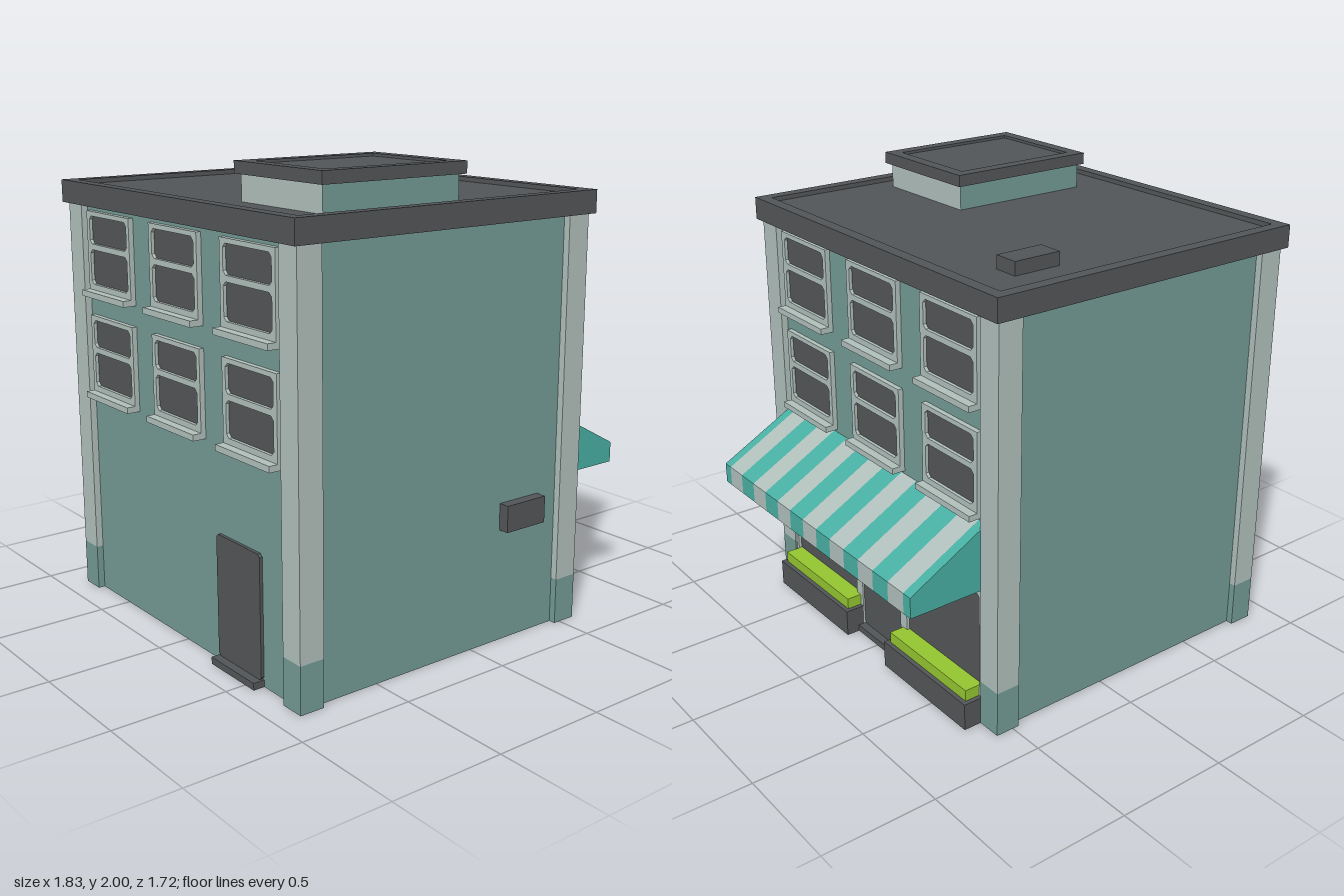
import * as THREE from 'three';

const mat = (name, color, side = THREE.FrontSide) => {
  const m = new THREE.MeshStandardMaterial({ color, side });
  m.name = name;
  return m;
};

export function createModel() {
  const D = THREE.DoubleSide;
  const wallMat = mat('sage wall', 0x739a94, D);
  const trim = mat('pale trim', 0xb0bfbb, D);
  const dark = mat('charcoal', 0x525557, D);
  const teal = mat('awning teal', 0x48aea2, D);
  const green = mat('leaf green', 0x93c42f);

  const root = new THREE.Group();
  root.name = 'shopBuilding';
  const body = new THREE.Group();
  body.name = 'building';
  body.position.x = -0.155;
  root.add(body);

  const add = (parent, name, geo, material) => {
    const m = new THREE.Mesh(geo, material);
    m.name = name;
    parent.add(m);
    return m;
  };
  // Box given by its limits
  const box = (parent, name, material, x0, x1, y0, y1, z0, z1) => {
    const g = new THREE.BoxGeometry(x1 - x0, y1 - y0, z1 - z0);
    g.translate((x0 + x1) / 2, (y0 + y1) / 2, (z0 + z1) / 2);
    return add(parent, name, g, material);
  };
  // Rectangle outline with small cut corners
  const outline = (x0, x1, y0, y1, c = 0) => {
    const p = c
      ? [[x0 + c, y0], [x1 - c, y0], [x1, y0 + c], [x1, y1 - c], [x1 - c, y1], [x0 + c, y1], [x0, y1 - c], [x0, y0 + c]]
      : [[x0, y0], [x1, y0], [x1, y1], [x0, y1]];
    return p.map(([x, y]) => new THREE.Vector2(x, y));
  };
  // Plate with holes
  const plate = (outer, holes, depth) => {
    const s = new THREE.Shape(outer);
    holes.forEach(h => s.holes.push(new THREE.Path(h)));
    return new THREE.ExtrudeGeometry(s, { depth, bevelEnabled: false });
  };
  // Open strip: polyline in xy swept from z = a to z = b
  const ribbon = (pts, a, b) => {
    const v = [];
    for (let i = 0; i < pts.length - 1; i++) {
      const [p, q] = [pts[i], pts[i + 1]];
      v.push(...p, a, ...p, b, ...q, a, ...p, b, ...q, b, ...q, a);
    }
    const g = new THREE.BufferGeometry();
    g.setAttribute('position', new THREE.Float32BufferAttribute(v, 3));
    g.computeVertexNormals();
    return g;
  };

  // Blank walls, open at the bottom
  for (const s of [1, -1]) {
    const g = new THREE.PlaneGeometry(1.25, 1.77);
    const w = add(body, s > 0 ? 'frontWall' : 'backWall', g, wallMat);
    w.position.set(0, 0.885, s * 0.81);
    if (s < 0) w.rotation.y = Math.PI;
  }

  // Corner pillars with coloured feet
  const corner = [[0.625, 0.81], [0.625, 0.84], [0.735, 0.84], [0.735, 0.73], [0.705, 0.73]];
  for (const sx of [1, -1]) for (const sz of [1, -1]) {
    const pts = corner.map(([x, z]) => [x * sx, z * sz]);
    if (sx * sz < 0) pts.reverse();
    add(body, 'pillarFoot', ribbon(pts, 0, 0.2).rotateX(-Math.PI / 2), wallMat);
    add(body, 'pillar', ribbon(pts, 0.2, 1.77).rotateX(-Math.PI / 2), trim);
  }

  // Sash window with frame, panes and sill; y is the sill top
  const addWindow = (side, x, y) => {
    const w = new THREE.Group();
    w.name = 'window';
    w.position.set(x, y, 0);
    side.add(w);
    const holes = [[0.025, 0.175], [0.2, 0.32]].map(([a, b]) => outline(-0.157, 0.157, a, b, 0.016));
    add(w, 'windowFrame', plate(outline(-0.18, 0.18, 0, 0.34), holes, 0.022), trim);
    box(w, 'windowGlass', dark, -0.165, 0.165, 0.015, 0.33, 0.001, 0.008);
    box(w, 'windowSill', trim, -0.18, 0.18, -0.026, 0, 0, 0.06);
  };
  const addDoor = (side, x) => {
    add(side, 'door', plate(outline(x - 0.15, x + 0.15, 0.03, 0.55, 0.012), [], 0.02), dark).position.z = -0.006;
    box(side, 'doorStep', dark, x - 0.15, x + 0.15, 0, 0.03, -0.005, 0.05);
  };
  // Long wall with two rows of windows
  const longSide = (name, sign) => {
    const side = new THREE.Group();
    side.name = name;
    side.position.x = sign * 0.705;
    side.rotation.y = sign * Math.PI / 2;
    body.add(side);
    add(side, 'longWall', new THREE.PlaneGeometry(1.46, 1.77), wallMat).position.y = 0.885;
    for (const x of [-0.52, 0, 0.52]) for (const y of [0.945, 1.4]) addWindow(side, x, y);
    return side;
  };

  const rear = longSide('serviceSide', -1);
  addDoor(rear, 0.41);

  // Shop front
  const shop = longSide('shopSide', 1);
  const panes = [-1, 1].map(s => outline(s * 0.455 - 0.257, s * 0.455 + 0.257, 0.15, 0.59, 0.012));
  panes.push(outline(-0.15, 0.15, 0.01, 0.55, 0.012));
  add(shop, 'shopPanel', plate(outline(-0.73, 0.73, 0, 0.64), panes, 0.022), trim);
  for (const s of [-1, 1]) {
    const c = s * 0.455;
    box(shop, 'shopGlass', dark, c - 0.262, c + 0.262, 0.14, 0.6, 0.001, 0.008);
    const p = s * 0.44;
    box(shop, 'planter', dark, p - 0.29, p + 0.29, 0, 0.12, 0.005, 0.11);
    box(shop, 'planterLeaves', green, p - 0.27, p + 0.27, 0.12, 0.17, 0.005, 0.09);
  }
  addDoor(shop, 0);

  // Striped awning with closed ends and flat underside
  const awning = new THREE.Group();
  awning.name = 'awning';
  body.add(awning);
  const slope = [[0.705, 0.905], [1.065, 0.71], [1.065, 0.62]];
  const edges = [-0.73];
  for (let i = 0; i <= 13; i++) edges.push(-0.683 + i * 0.1051);
  edges.push(0.73);
  for (let i = 0; i < 15; i++)
    add(awning, 'awningStripe', ribbon(slope, edges[i], edges[i + 1]), i % 2 ? trim : teal);
  const end = new THREE.Shape([...slope, [0.705, 0.62]].map(p => new THREE.Vector2(...p)));
  for (const s of [1, -1])
    add(awning, 'awningEnd', new THREE.ShapeGeometry(end), teal).position.z = s * 0.73;
  add(awning, 'awningUnderside', ribbon([[1.065, 0.62], [0.705, 0.62]], -0.73, 0.73), dark);

  // Flat roof with a raised rim
  const trayRoof = (name, x0, x1, z0, z1, y0, y1, lip, border) => {
    box(body, name, dark, x0, x1, y0, y1 - lip, z0, z1);
    const rim = plate(outline(x0, x1, -z1, -z0),
      [outline(x0 + border, x1 - border, -z1 + border, -z0 - border)], lip);
    add(body, name + 'Rim', rim.rotateX(-Math.PI / 2).translate(0, y1 - lip, 0), dark);
  };
  trayRoof('roof', -0.757, 0.757, -0.86, 0.86, 1.765, 1.862, 0.02, 0.053);

  // Roof hut, vent and wall box
  box(body, 'roofHut', [trim, trim, wallMat, wallMat, wallMat, wallMat], -0.527, 0.13, 1.84, 1.955, 0.197, 0.715);
  trayRoof('roofHutCap', -0.545, 0.153, 0.175, 0.735, 1.95, 2, 0.012, 0.055);
  box(body, 'roofVent', dark, 0.305, 0.52, 1.84, 1.898, -0.66, -0.55);
  box(body, 'wallBox', dark, 0.305, 0.52, 0.49, 0.605, 0.805, 0.857);

  return root;
}
